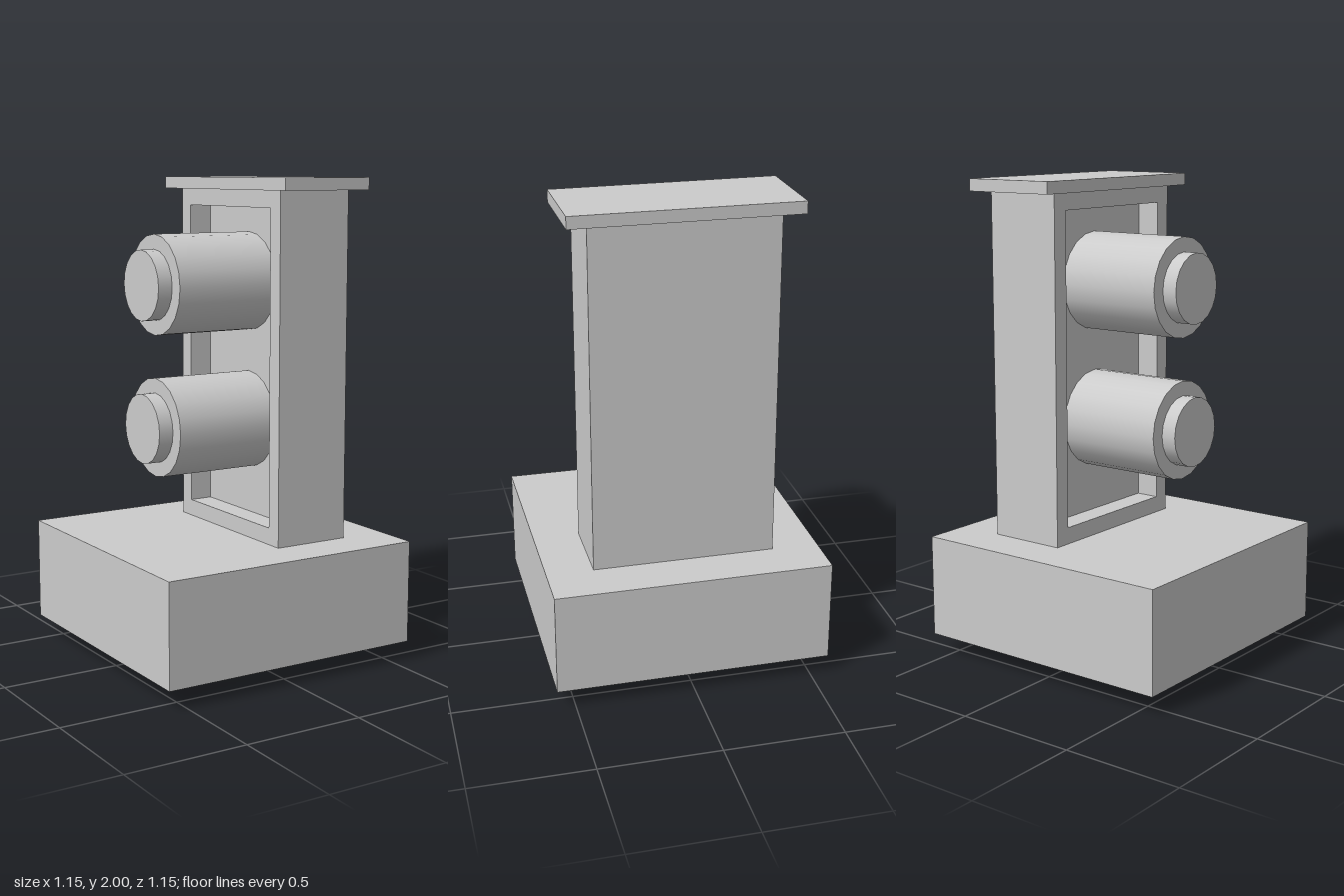
import * as THREE from 'three';

const material = new THREE.MeshStandardMaterial({ color: 0xcccccc });

export function createModel() {
  const model = new THREE.Group();
  model.name = 'signalPost';

  const add = (name, geometry, x, y, z) => {
    const mesh = new THREE.Mesh(geometry, material);
    mesh.name = name;
    mesh.position.set(x, y, z);
    model.add(mesh);
    return mesh;
  };

  // Box given by its lower and upper corners
  const box = (name, [x0, y0, z0], [x1, y1, z1]) =>
    add(name, new THREE.BoxGeometry(x1 - x0, y1 - y0, z1 - z0),
      (x0 + x1) / 2, (y0 + y1) / 2, (z0 + z1) / 2);

  // Rectangular frame around an opening, extruded along z
  const rectangle = (path, w, h) => path.moveTo(-w / 2, -h / 2).lineTo(w / 2, -h / 2)
    .lineTo(w / 2, h / 2).lineTo(-w / 2, h / 2).closePath();
  const frame = (w, h, border, depth) => {
    const shape = rectangle(new THREE.Shape(), w, h);
    shape.holes.push(rectangle(new THREE.Path(), w - 2 * border, h - 2 * border));
    return new THREE.ExtrudeGeometry(shape, { depth, bevelEnabled: false });
  };

  // Plinth on a hollow square foot with a small central socket
  box('plinth', [-0.575, 0.08, -0.575], [0.575, 0.51, 0.575]);
  add('foot', frame(0.576, 0.576, 0.084, 0.08).rotateX(-Math.PI / 2), 0, 0, 0);
  add('footSocket', frame(0.23, 0.23, 0.06, 0.05).rotateX(-Math.PI / 2), 0, 0.03, 0);

  // Housing: solid back and a raised rim around the recessed lamp panel
  box('housing', [0.15, 0.51, -0.38], [0.38, 1.95, 0.38]);
  add('housingRim', frame(0.76, 1.44, 0.07, 0.1).rotateY(-Math.PI / 2), 0.15, 1.23, 0);
  box('roof', [0.015, 1.95, -0.463], [0.42, 2, 0.463]);

  // Two lamps facing -x, each a barrel with a narrower lens
  const cylinder = (name, radius, x0, x1, y) =>
    add(name, new THREE.CylinderGeometry(radius, radius, x1 - x0, 20).rotateZ(Math.PI / 2),
      (x0 + x1) / 2, y, 0);
  for (const [label, y] of [['lower', 0.985], ['upper', 1.57]]) {
    cylinder(label + 'LampBarrel', 0.205, -0.305, 0.15, y);
    cylinder(label + 'LampLens', 0.144, -0.367, -0.305, y);
  }

  return model;
}
